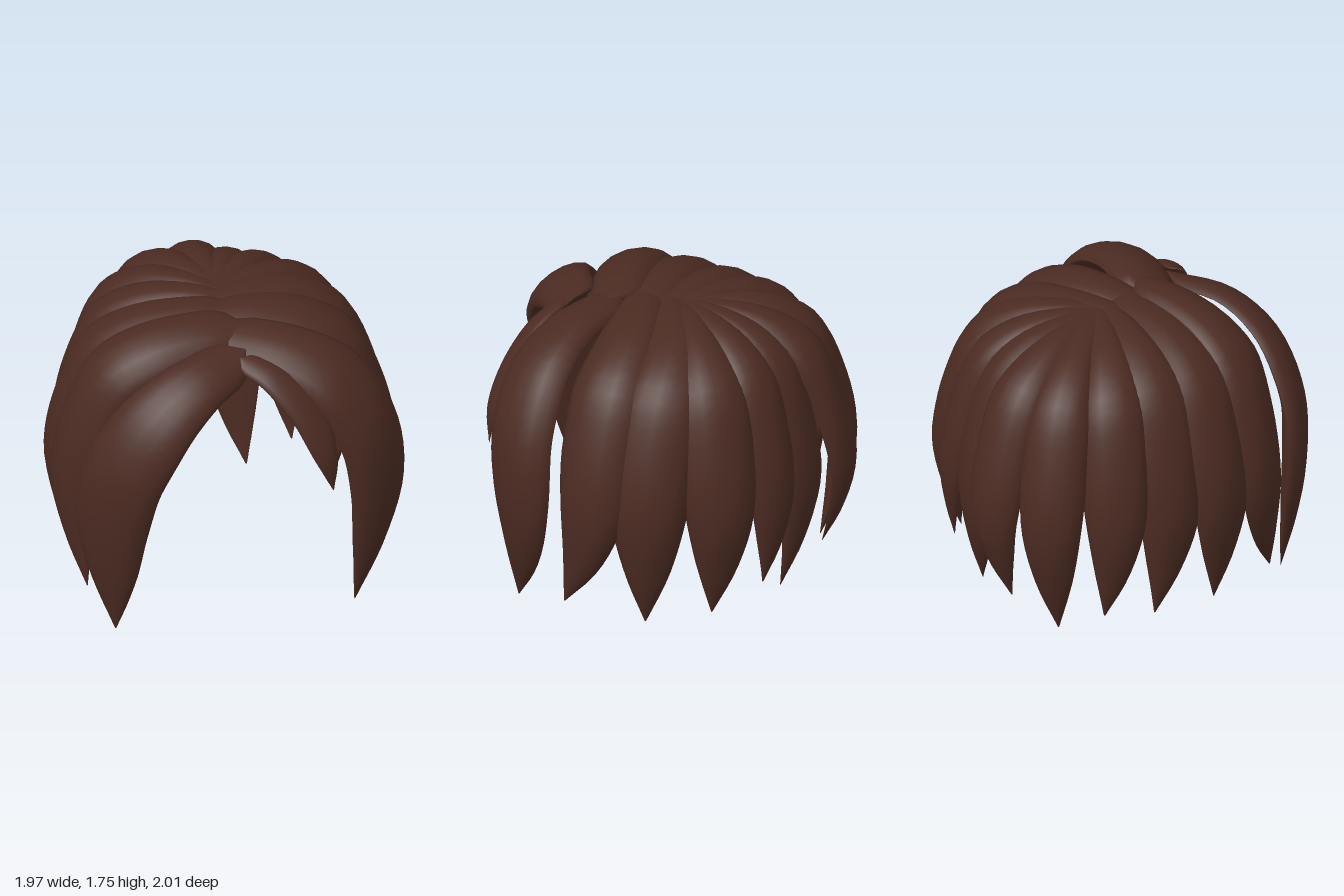
import * as THREE from 'three';

const brown = new THREE.MeshStandardMaterial({ color: 0x4b2b22 });
brown.name = 'dark brown hair';

const HEAD = new THREE.Vector3(0, 0.7, 0);
const STEPS = 28, SIDES = 16;

// Lock of hair: a lens section swept under a ridge line, tapering to a point.
function lock(name, points, width, rootWidth, bulge = 0.68) {
  const curve = new THREE.CatmullRomCurve3(points.map(p => new THREE.Vector3(...p)), false, 'centripetal');
  const pos = [], idx = [];
  const n = new THREE.Vector3(), b = new THREE.Vector3(), v = new THREE.Vector3();
  for (let i = 0; i <= STEPS; i++) {
    const u = i / STEPS;
    const p = curve.getPointAt(u), t = curve.getTangentAt(u);
    n.subVectors(p, HEAD).addScaledVector(t, -n.dot(t)).normalize();
    b.crossVectors(t, n).normalize();
    const grow = THREE.MathUtils.lerp(rootWidth, width, THREE.MathUtils.smoothstep(u, 0, 0.45));
    const taper = u < 0.55 ? 1 : 1 - Math.pow((u - 0.55) / 0.45, 2.2);
    const w = Math.max(0.004, grow * taper * Math.sqrt(Math.min(1, u / 0.05)));
    const h = w * bulge;
    for (let j = 0; j < SIDES; j++) {
      const a = j / SIDES * Math.PI * 2, s = Math.sin(a);
      v.copy(p).addScaledVector(b, w * Math.cos(a)).addScaledVector(n, h * (s > 0 ? s - 1 : 0.15 * s - 1));
      pos.push(v.x, v.y, v.z);
      if (i < STEPS) {
        const k = (j + 1) % SIDES, r = i * SIDES, q = r + SIDES;
        idx.push(r + j, q + j, r + k, r + k, q + j, q + k);
      }
    }
  }
  const g = new THREE.BufferGeometry();
  g.setAttribute('position', new THREE.Float32BufferAttribute(pos, 3));
  g.setIndex(idx);
  g.computeVertexNormals();
  const mesh = new THREE.Mesh(g, brown);
  mesh.name = name;
  return mesh;
}

// Ridge from the crown over the head, out to its widest point and in to the tip.
function domePath([rx, rz], [mx, mz], tip, bow) {
  const along = (f, y) => [
    THREE.MathUtils.lerp(rx, mx, f), y,
    THREE.MathUtils.lerp(rz, mz, f) + bow * Math.sin(f * Math.PI)];
  const low = 0.4;
  return [
    along(0, 1.715), along(0.25, 1.735), along(0.55, 1.68), along(0.78, 1.53),
    along(0.93, 1.2), along(1, 0.8),
    [mx + (tip[0] - mx) * low, 0.8 + (tip[1] - 0.8) * 0.57, mz + (tip[2] - mz) * low],
    tip];
}

export function createModel() {
  const hair = new THREE.Group();
  hair.name = 'hair';

  // Side and back locks: name, root (x, z), widest point (x, z), tip, half width, root half width, bow
  const domeLocks = [
    ['rightTempleLock', [0.1, 0.41], [-0.965, 0.41], [-0.82, 0.16, 0.5], 0.23, 0.18, 0.04],
    ['rightSideLock', [0.1, 0.22], [-0.975, 0.06], [-0.82, 0.16, 0.04], 0.23, 0.15, 0.03],
    ['rightRearSideLock', [0.06, 0.08], [-0.87, -0.3], [-0.74, 0.2, -0.36], 0.21, 0.09, 0],
    ['rightBackLock', [0.04, 0.02], [-0.71, -0.63], [-0.58, 0.22, -0.6], 0.19, 0.07, 0],
    ['rightNapeLock', [0.02, 0], [-0.41, -0.91], [-0.34, 0.1, -0.72], 0.19, 0.06, 0],
    ['centreNapeLock', [0, 0], [-0.03, -1], [-0.06, 0.23, -0.8], 0.18, 0.06, 0],
    ['leftNapeLock', [-0.01, 0], [0.27, -0.84], [0.3, 0.13, -0.65], 0.18, 0.06, 0],
    ['leftBackLock', [-0.02, 0], [0.56, -0.72], [0.55, 0.29, -0.61], 0.17, 0.06, 0],
    ['leftRearSideLock', [-0.03, 0.02], [0.84, -0.47], [0.73, 0.16, -0.36], 0.22, 0.07, 0],
    ['leftSideLock', [-0.08, 0.1], [0.975, -0.02], [0.82, 0.1, 0], 0.24, 0.12, -0.1],
    ['leftTempleLock', [-0.1, 0.25], [0.965, 0.34], [0.84, 0.18, 0.46], 0.23, 0.16, -0.05],
  ];
  for (const [name, root, wide, tip, w, rw, bow] of domeLocks)
    hair.add(lock(name, domePath(root, wide, tip, bow), w, rw));

  // Front locks framing the open face
  hair.add(lock('rightFrontLock', [
    [0.06, 1.67, 0.6], [-0.26, 1.61, 0.79], [-0.53, 1.42, 0.88], [-0.73, 1.1, 0.88],
    [-0.8, 0.74, 0.83], [-0.77, 0.37, 0.78], [-0.7, 0, 0.72]], 0.25, 0.15, 0.5));
  hair.add(lock('leftFrontLock', [
    [-0.08, 1.7, 0.4], [0.3, 1.69, 0.62], [0.6, 1.55, 0.75], [0.81, 1.22, 0.81],
    [0.87, 0.82, 0.8], [0.79, 0.42, 0.78], [0.65, 0.07, 0.77]], 0.25, 0.18, 0.6));
  hair.add(lock('fringeLock', [
    [0.02, 1.66, 0.67], [0.2, 1.58, 0.8], [0.38, 1.38, 0.92], [0.47, 1.13, 0.99],
    [0.49, 0.93, 0.98]], 0.1, 0.07, 0.4));

  return hair;
}
